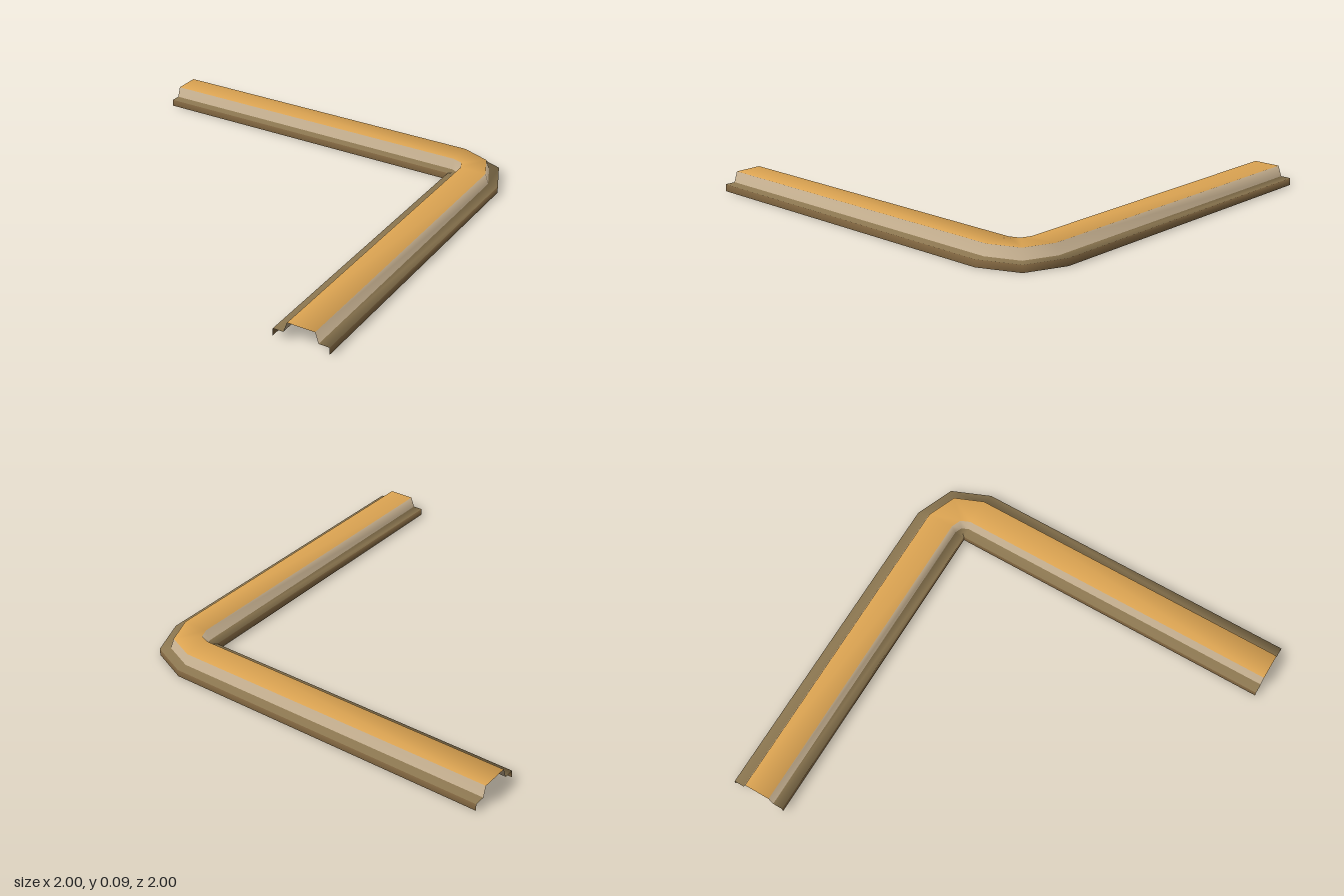
import * as THREE from 'three';

const material = (name, color) =>
  new THREE.MeshStandardMaterial({ name, color, side: THREE.DoubleSide });

// Cross-section: [distance from the inner edge, height]
const PROFILE = [
  [0, 0], [0, 0.036], [0.052, 0.036], [0.07, 0.088],
  [0.208, 0.088], [0.226, 0.036], [0.28, 0.036], [0.28, 0],
];

// Path of the inner edge: [x, z, bearing of the cross-section in degrees]
const BEND = 0.72;
const STATIONS = [
  [-1, -BEND, 0],
  [BEND, -BEND, 0], [BEND, -BEND, 45], [BEND, -BEND, 90],
  [BEND, 1, 90],
];

export function createModel() {
  const group = new THREE.Group();
  group.name = 'cornerTrim';

  const gold = material('gold', 0xdca452);
  const tan = material('tan', 0xbfaa8b);
  const brown = material('brown', 0x8b7650);
  const darkBrown = material('darkBrown', 0x7c623e);

  // Sweep the cross-section along the path
  const n = PROFILE.length;
  const positions = [];
  for (const [x, z, degrees] of STATIONS) {
    const a = THREE.MathUtils.degToRad(degrees);
    for (const [r, y] of PROFILE) {
      positions.push(x + r * Math.sin(a), y, z - r * Math.cos(a));
    }
  }

  // Triangles of one lengthwise strip of the sweep
  const stripIndex = (j) => {
    const index = [];
    for (let i = 0; i < STATIONS.length - 1; i++) {
      const a = i * n + j;
      const b = a + n;
      const pivot = i === 1 || i === 2; // the inner edge has no length here
      if (!(pivot && j === 0)) index.push(b, b + 1, a + 1);
      if (!(pivot && j <= 1)) index.push(a, b, a + 1);
    }
    return index;
  };

  // Shared smooth surface
  const shell = new THREE.BufferGeometry();
  shell.setAttribute('position', new THREE.Float32BufferAttribute(positions, 3));
  shell.setIndex(PROFILE.slice(1).flatMap((_, j) => stripIndex(j)));
  shell.computeVertexNormals();

  // One coloured mesh for each strip
  const strips = [
    ['innerSkirt', darkBrown], ['innerFlange', brown], ['innerSlope', tan],
    ['topFace', gold],
    ['outerSlope', tan], ['outerFlange', brown], ['outerSkirt', darkBrown],
  ];
  strips.forEach(([name, mat], j) => {
    const geometry = new THREE.BufferGeometry();
    geometry.setAttribute('position', shell.getAttribute('position'));
    geometry.setAttribute('normal', shell.getAttribute('normal'));
    geometry.setIndex(stripIndex(j));
    const mesh = new THREE.Mesh(geometry, mat);
    mesh.name = name;
    group.add(mesh);
  });

  return group;
}
